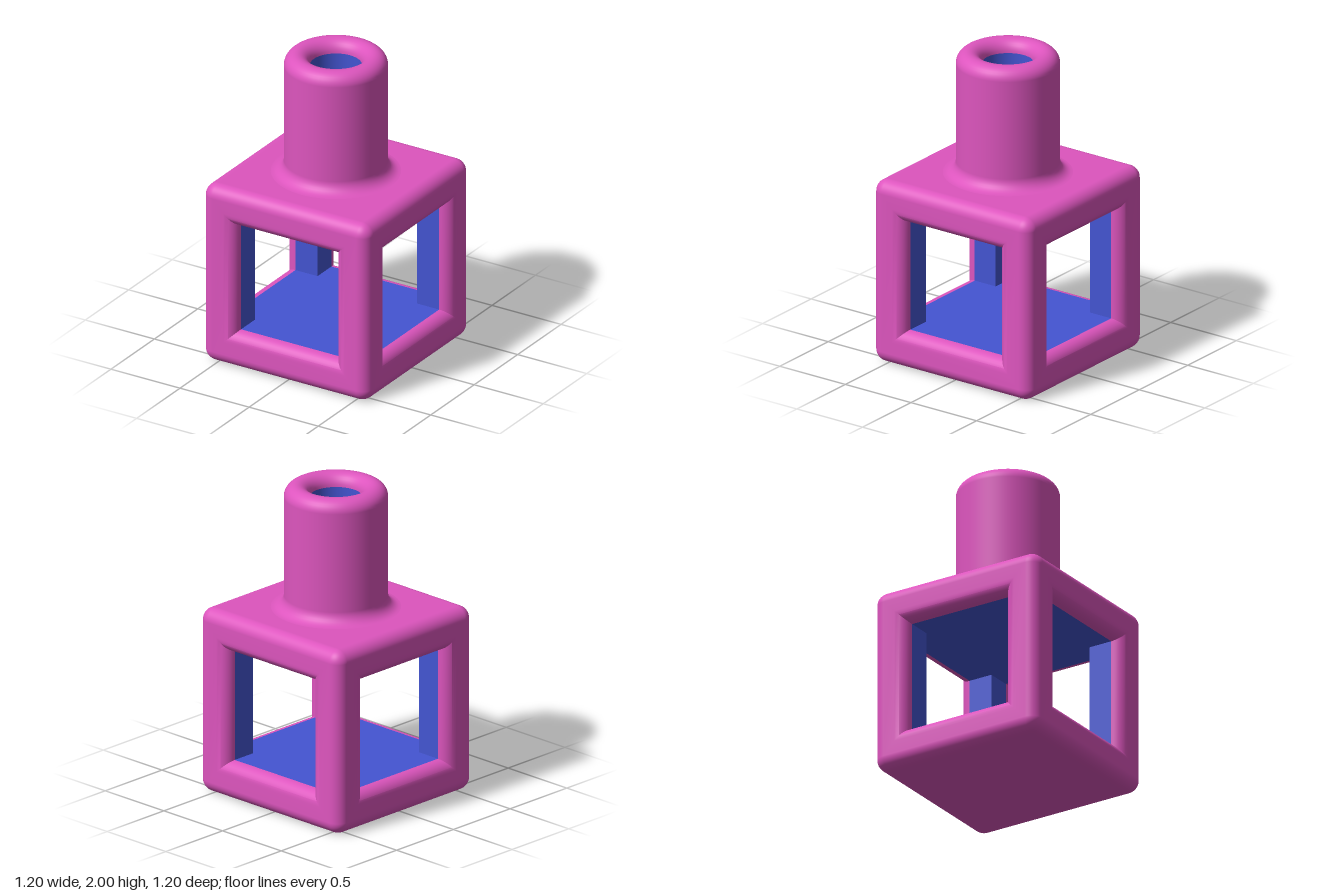
import * as THREE from 'three';
import { toCreasedNormals } from 'three/addons/utils/BufferGeometryUtils.js';
import { RoundedBoxGeometry } from 'three/addons/geometries/RoundedBoxGeometry.js';

const HALF = 0.6;    // half the cube's size
const R = 0.08;      // radius of every rounded edge
const OPEN = 0.36;   // half the window's size
const TUBE = 0.32;   // tube radius
const BORE = 0.16;   // bore radius

const pink = new THREE.MeshStandardMaterial({ color: 0xdd55be });
const blue = new THREE.MeshStandardMaterial({ color: 0x4455d2 });

// points of a quarter circle from angle a0 to a1 about (cx, cy)
function arc(cx, cy, a0, a1, steps = 8) {
  return Array.from({ length: steps + 1 }, (_, i) => {
    const a = a0 + (a1 - a0) * i / steps;
    return new THREE.Vector2(cx + R * Math.cos(a), cy + R * Math.sin(a));
  });
}

// rounded cube shell without the four flat side faces
function shellGeometry() {
  const g = new RoundedBoxGeometry(2 * HALF, 2 * HALF, 2 * HALF, 8, R);
  const p = g.attributes.position, n = g.attributes.normal;
  const pos = [], nor = [];
  for (let i = 0; i < p.count; i += 3) {
    const tri = [i, i + 1, i + 2];
    const onSide = (get) => tri.every((k) => Math.abs(p[get](k)) > HALF - 1e-4);
    if (onSide('getX') || onSide('getZ')) continue;
    for (const k of tri) {
      pos.push(p.getX(k), p.getY(k), p.getZ(k));
      nor.push(n.getX(k), n.getY(k), n.getZ(k));
    }
  }
  const out = new THREE.BufferGeometry();
  out.setAttribute('position', new THREE.Float32BufferAttribute(pos, 3));
  out.setAttribute('normal', new THREE.Float32BufferAttribute(nor, 3));
  return out;
}

// square frame with a rounded inner lip, facing +z
function frameGeometry() {
  const profile = [
    new THREE.Vector2(HALF - R, HALF),
    ...arc(OPEN + R, HALF - R, Math.PI / 2, Math.PI),
  ].map((v) => new THREE.Vector2(v.x * Math.SQRT2, v.y));
  const g = new THREE.LatheGeometry(profile, 4, Math.PI / 4);
  g.rotateX(Math.PI / 2);
  return toCreasedNormals(g, 0.5);
}

// plus-shaped floor outline
function crossShape() {
  const a = OPEN, b = HALF - R;
  return new THREE.Shape([
    [a, b], [-a, b], [-a, a], [-b, a], [-b, -a], [-a, -a],
    [-a, -b], [a, -b], [a, -a], [b, -a], [b, a], [a, a],
  ].map(([x, y]) => new THREE.Vector2(x, y)));
}

export function createModel() {
  const model = new THREE.Group();
  model.name = 'windowedCubeWithTube';
  const add = (parent, name, geometry, material) => {
    const mesh = new THREE.Mesh(geometry, material);
    mesh.name = name;
    parent.add(mesh);
    return mesh;
  };

  const cube = new THREE.Group();
  cube.name = 'cube';
  cube.position.y = HALF;
  model.add(cube);
  add(cube, 'cubeShell', shellGeometry(), pink);

  // four windows: rounded frame and the inner faces of the posts
  const frame = frameGeometry();
  const wall = new THREE.PlaneGeometry(HALF - R - OPEN, 2 * OPEN);
  for (let i = 0; i < 4; i++) {
    const side = new THREE.Group();
    side.name = 'window';
    side.rotation.y = i * Math.PI / 2;
    cube.add(side);
    add(side, 'windowFrame', frame, pink);
    for (const s of [-1, 1]) {
      const post = add(side, 'postInnerFace', wall, blue);
      post.position.set(s * OPEN, 0, (OPEN + HALF - R) / 2);
      post.rotation.y = -s * Math.PI / 2;
    }
  }

  // floor and ceiling of the hollow
  const cross = new THREE.ShapeGeometry(crossShape());
  for (const [name, s] of [['innerFloor', -1], ['innerCeiling', 1]]) {
    const slab = add(cube, name, cross, blue);
    slab.position.y = s * OPEN;
    slab.rotation.x = s * Math.PI / 2;
  }

  // tube with a flared foot and rounded rim
  const top = 2, deck = 2 * HALF;
  add(model, 'tube', new THREE.LatheGeometry([
    ...arc(TUBE + R, deck + R, Math.PI * 1.5, Math.PI),
    ...arc(TUBE - R, top - R, 0, Math.PI / 2),
    ...arc(BORE + R, top - R, Math.PI / 2, Math.PI).slice(1),
  ], 64), pink);

  // bore inside the tube
  const bore = new THREE.LatheGeometry([
    new THREE.Vector2(BORE, top - R),
    new THREE.Vector2(BORE, deck + 0.01),
    new THREE.Vector2(0, deck + 0.01),
  ], 64);
  add(model, 'bore', toCreasedNormals(bore, 0.5), blue);

  return model;
}
